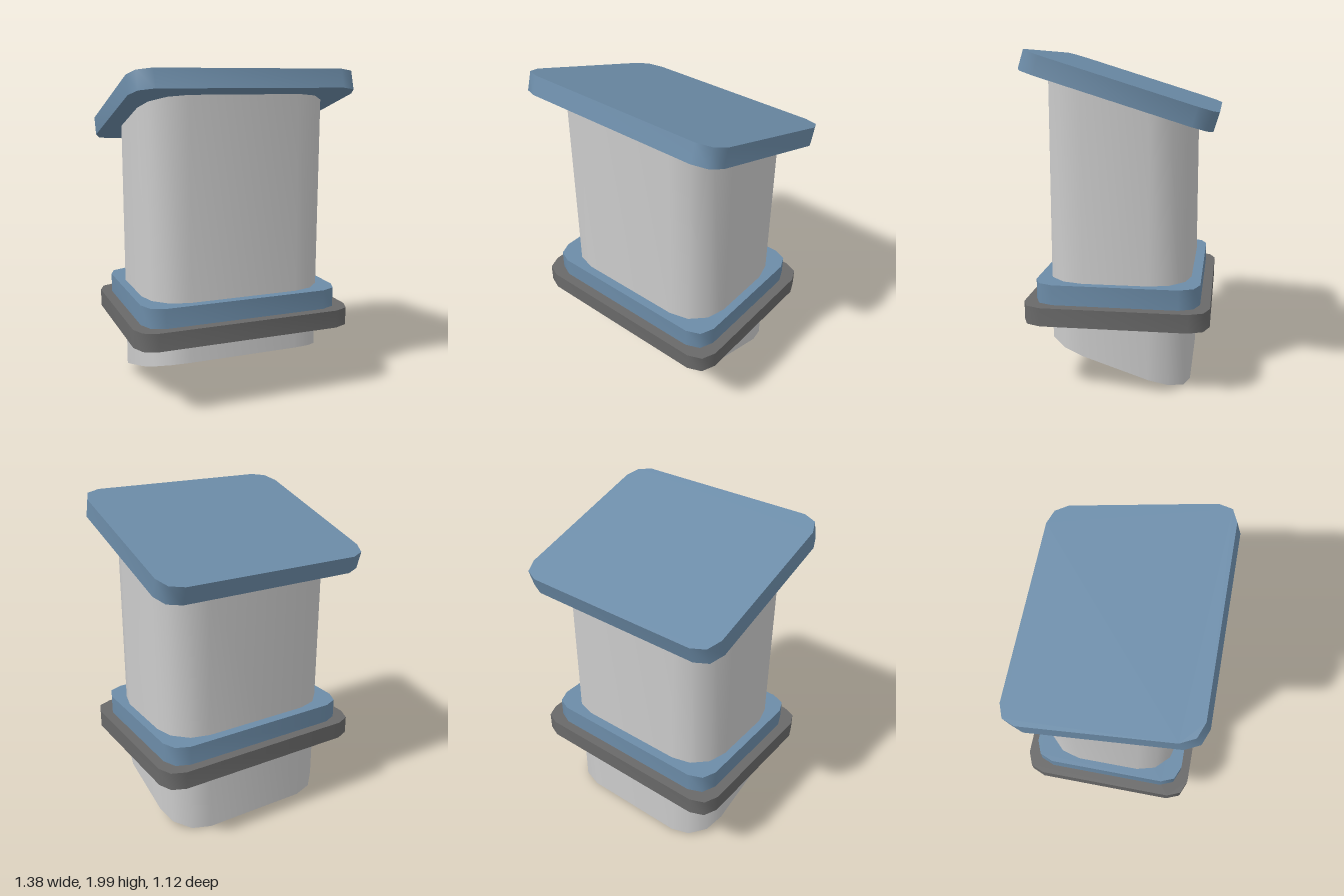
import * as THREE from 'three';
import { toCreasedNormals } from 'three/addons/utils/BufferGeometryUtils.js';

const material = (color) => new THREE.MeshStandardMaterial({ color });

// Rectangle with corners rounded in a few straight steps
function roundedShape(width, depth, radius, steps) {
  const points = [];
  const corners = [[1, 1], [-1, 1], [-1, -1], [1, -1]];
  corners.forEach(([sx, sy], quarter) => {
    for (let i = 0; i <= steps; i++) {
      const angle = (quarter + i / steps) * Math.PI / 2;
      points.push(new THREE.Vector2(
        sx * (width / 2 - radius) + radius * Math.cos(angle),
        sy * (depth / 2 - radius) + radius * Math.sin(angle)));
    }
  });
  return new THREE.Shape(points);
}

// Horizontal slab standing on y = 0
function slab(width, depth, height, radius, steps) {
  const geometry = new THREE.ExtrudeGeometry(
    roundedShape(width, depth, radius, steps), { depth: height, bevelEnabled: false });
  return geometry.rotateX(-Math.PI / 2);
}

export function createModel() {
  const model = new THREE.Group();
  const blue = material(0x6c8ca8);
  const grey = material(0xcccccc);
  const dark = material(0x696969);

  function add(name, geometry, mat, y, z) {
    const mesh = new THREE.Mesh(toCreasedNormals(geometry, 0.9), mat);
    mesh.name = name;
    mesh.position.set(0, y, z);
    model.add(mesh);
    return mesh;
  }

  // Pipe with both ends cut on a slant, blue end faces
  const pipe = slab(1.15, 0.86, 1, 0.235, 3);
  const pos = pipe.attributes.position;
  for (let i = 0; i < pos.count; i++) {
    const z = pos.getZ(i);
    pos.setY(i, pos.getY(i) > 0.5 ? 1.717 + 0.32 * z : 0.147 + 0.33 * z);
  }
  add('pipe', pipe, [blue, grey], 0, 0.015);

  // Stepped mounting flange around the pipe
  add('flange', slab(1.38, 1.095, 0.11, 0.12, 2), dark, 0.43, 0.0125);
  add('collar', slab(1.255, 0.975, 0.12, 0.12, 2), blue, 0.54, 0.0125);

  // Tilted lid, higher at the front
  const lid = slab(1.375, 1.142, 0.113, 0.12, 2).translate(0, -0.0565, 0);
  add('lid', lid, blue, 1.775, -0.0025).rotation.x = -Math.atan(0.312);

  return model;
}
